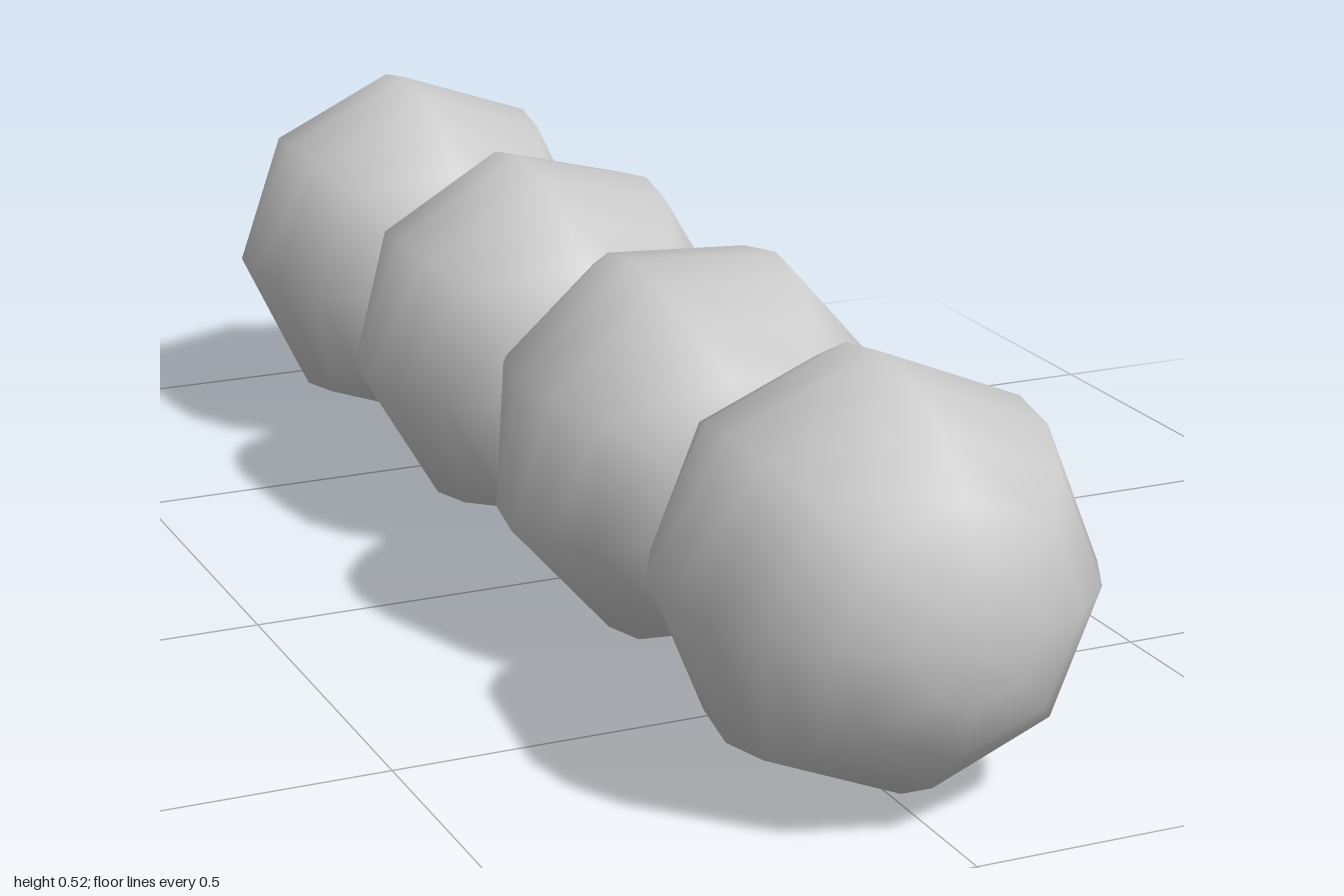
import * as THREE from 'three';

export function createModel() {
  const group = new THREE.Group();
  group.name = 'beadRow';
  const material = new THREE.MeshStandardMaterial({ color: 0xcccccc });
  const radius = 0.26;
  const spacing = (2 - 2 * radius) / 3;

  // Eight-sided sphere with its poles along z
  const geometry = new THREE.SphereGeometry(radius, 8, 10).rotateX(Math.PI / 2);

  // Four beads in a row, front to back, each with its own roll in degrees
  [0, 19, 8, 3].forEach((roll, i) => {
    const bead = new THREE.Mesh(geometry, material);
    bead.name = `bead${i + 1}`;
    bead.position.set(0, radius, 1 - radius - i * spacing);
    bead.rotation.z = THREE.MathUtils.degToRad(roll);
    group.add(bead);
  });
  return group;
}
